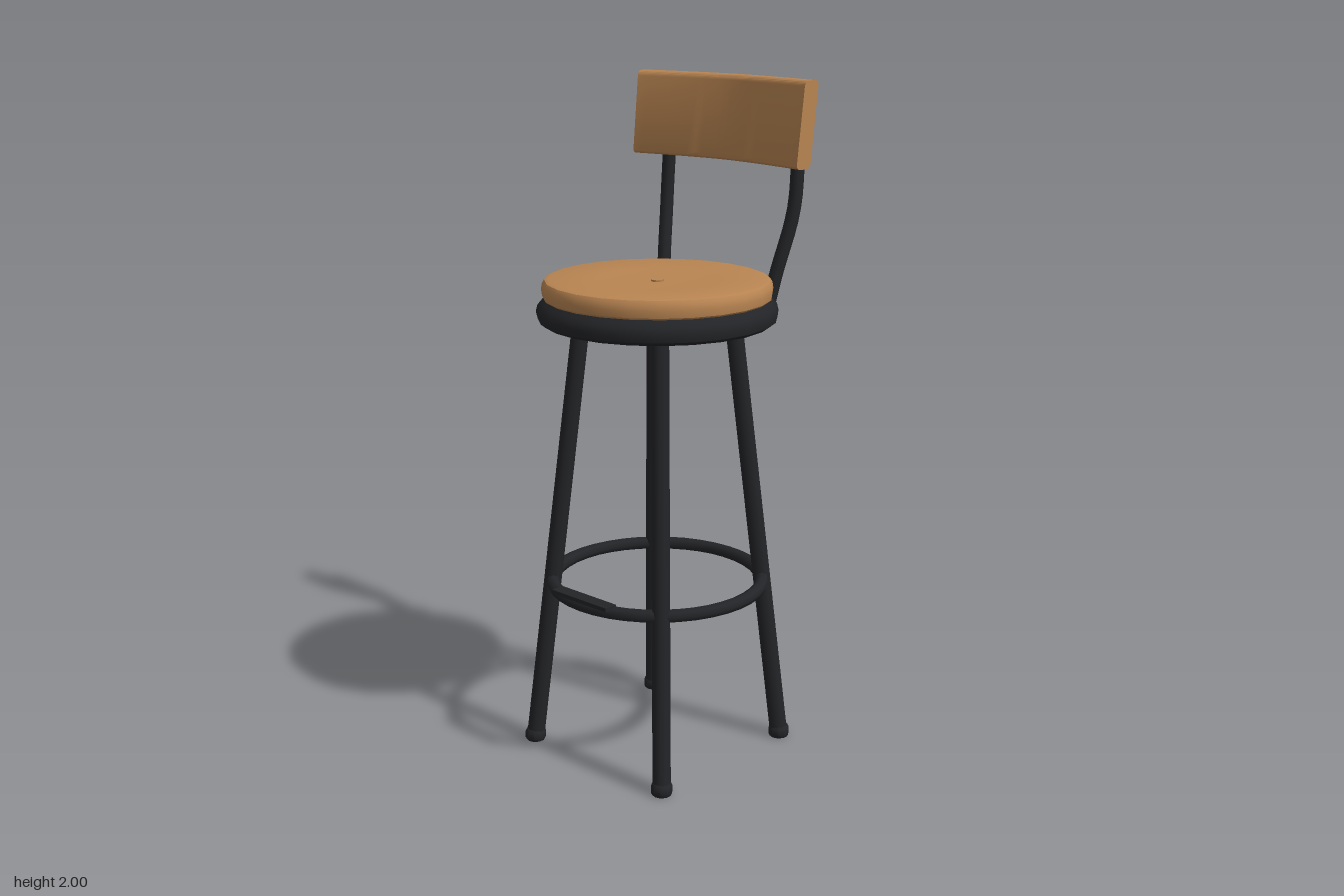
import * as THREE from 'three';
import { toCreasedNormals } from 'three/addons/utils/BufferGeometryUtils.js';

const wood = new THREE.MeshStandardMaterial({ color: 0xb98552 });
const metal = new THREE.MeshStandardMaterial({ color: 0x232427 });

export function createModel() {
  const stool = new THREE.Group();
  stool.name = 'barStool';

  const add = (name, geometry, material) => {
    const mesh = new THREE.Mesh(geometry, material);
    mesh.name = name;
    stool.add(mesh);
    return mesh;
  };
  const lathe = (points, sides = 24) =>
    toCreasedNormals(new THREE.LatheGeometry(points.map(p => new THREE.Vector2(...p)), sides), 0.6);

  // Straight round bar between two points
  const bar = (name, a, b, rA, rB, sides = 10) => {
    const dir = b.clone().sub(a);
    const mesh = add(name, new THREE.CylinderGeometry(rB, rA, dir.length(), sides), metal);
    mesh.position.copy(a).add(b).multiplyScalar(0.5);
    mesh.quaternion.setFromUnitVectors(new THREE.Vector3(0, 1, 0), dir.normalize());
  };

  // Seat pan with rounded rim
  add('seatPan', lathe([
    [0, 1.315], [0.333, 1.315], [0.346, 1.325], [0.351, 1.345],
    [0.346, 1.365], [0.335, 1.377], [0.328, 1.385], [0, 1.385],
  ]), metal);

  // Slightly dished wooden seat
  add('seat', lathe([
    [0, 1.38], [0.322, 1.38], [0.332, 1.39], [0.335, 1.41],
    [0.332, 1.428], [0.326, 1.438], [0.314, 1.442], [0.18, 1.438], [0, 1.431],
  ]), wood);
  const button = add('seatButton', new THREE.CylinderGeometry(0.019, 0.019, 0.012, 10), wood);
  button.position.y = 1.431;

  // Four splayed legs with foot caps
  for (const sx of [-1, 1]) {
    for (const sz of [-1, 1]) {
      const side = (sz > 0 ? 'front' : 'back') + (sx > 0 ? 'Left' : 'Right');
      bar(side + 'Leg', new THREE.Vector3(sx * 0.266, 0.01, sz * 0.266),
        new THREE.Vector3(sx * 0.155, 1.325, sz * 0.155), 0.027, 0.026);
      const cap = add(side + 'Foot', lathe([
        [0, 0], [0.028, 0], [0.032, 0.008], [0.032, 0.026], [0.027, 0.036], [0, 0.036],
      ], 10), metal);
      cap.position.set(sx * 0.266, 0, sz * 0.266);
    }
  }

  // Foot ring and its front tread plate
  const ring = add('footRing', new THREE.TorusGeometry(0.315, 0.02, 8, 40), metal);
  ring.rotation.x = Math.PI / 2;
  ring.position.y = 0.525;
  const tread = add('footTread', new THREE.BoxGeometry(0.22, 0.012, 0.042), metal);
  tread.position.set(0, 0.543, 0.311);

  // Bent rods carrying the backrest
  for (const s of [-1, 1]) {
    const path = new THREE.CatmullRomCurve3([
      [0.208, 1.35, -0.249], [0.222, 1.45, -0.268], [0.244, 1.59, -0.302],
      [0.25, 1.66, -0.313], [0.25, 1.78, -0.322], [0.25, 1.93, -0.334],
    ].map(([x, y, z]) => new THREE.Vector3(s * x, y, z)));
    const name = s > 0 ? 'leftBackRod' : 'rightBackRod';
    add(name, new THREE.TubeGeometry(path, 16, 0.02, 8), metal);
    for (const t of [0, 1]) {
      const p = path.getPoint(t), d = path.getTangent(t).multiplyScalar(t ? 0.008 : -0.008);
      bar(name + (t ? 'TopEnd' : 'BottomEnd'), p, p.clone().add(d), 0.02, 0.014, 8);
    }
  }

  // Backrest: rounded slat section swept along x, leaned and bowed forward at the ends
  const w = 0.026, h = 0.123, r = 0.016, length = 0.645;
  const section = new THREE.Shape();
  section.moveTo(-w + r, -h);
  section.lineTo(w - r, -h).quadraticCurveTo(w, -h, w, -h + r);
  section.lineTo(w, h - r).quadraticCurveTo(w, h, w - r, h);
  section.lineTo(-w + r, h).quadraticCurveTo(-w, h, -w, h - r);
  section.lineTo(-w, -h + r).quadraticCurveTo(-w, -h, -w + r, -h);
  const back = new THREE.ExtrudeGeometry(section, {
    depth: length, steps: 24, bevelEnabled: false, curveSegments: 4,
  });
  back.translate(0, 0, -length / 2).rotateY(Math.PI / 2);
  const pos = back.attributes.position;
  for (let i = 0; i < pos.count; i++) {
    const x = pos.getX(i), y = pos.getY(i), z = pos.getZ(i) - y * 0.11;
    const u = Math.abs(x) / (length / 2);
    const bow = 0.046 * Math.pow(u, 1.55);
    const slope = Math.sign(x) * 0.14 * Math.min(1, u * 1.4);
    pos.setXYZ(i, x - z * slope, y + 1.877, z - 0.316 + bow);
  }
  add('backrest', toCreasedNormals(back, 0.7), wood);

  return stool;
}
